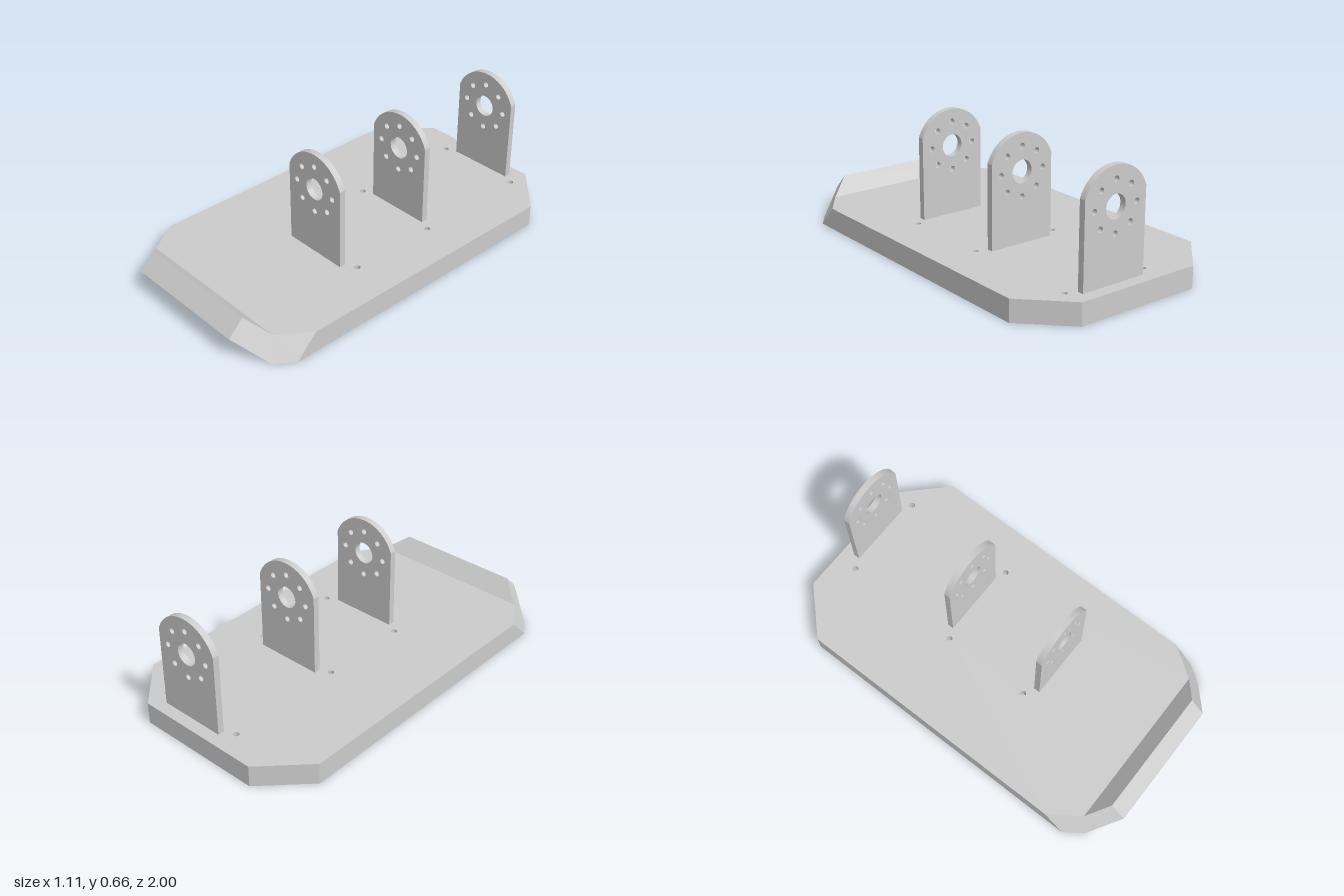
import * as THREE from 'three';

const T = 0.112; // slab thickness
const CX = 0.098; // bracket centre line
const HOLE_R = 0.015;

// Slab stations from back to front: [half width, y, z]
const bottom = [[0.335, 0, -1], [0.553, 0, -0.78], [0.553, 0, 0.793], [0.488, 0, 0.886], [0.335, T, 1]];
const top = [[0.335, T, -1], [0.553, T, -0.78], [0.553, T, 0.683], [0.444, T, 0.84], [0.335, 0.191, 0.921]];

// Bracket back-face z and the z of its pair of floor holes
const brackets = [[0.254, 0.227], [-0.303, -0.249], [-0.937, -0.881]];

function circlePath(x, y, r) {
  const p = new THREE.Path();
  p.absarc(x, y, r, 0, Math.PI * 2, true);
  return p;
}

// Slab body: bottom, sides, end caps and lip, without the flat top
function slabGeometry() {
  const pos = [];
  const corner = ([w, y, z], side) => [w * side, y, z];
  const quad = (a, b, c, d) => pos.push(...a, ...b, ...c, ...a, ...c, ...d);
  for (let i = 0; i < 4; i++) {
    const [b0, b1, t0, t1] = [bottom[i], bottom[i + 1], top[i], top[i + 1]];
    quad(corner(b0, -1), corner(b0, 1), corner(b1, 1), corner(b1, -1));
    quad(corner(b0, 1), corner(t0, 1), corner(t1, 1), corner(b1, 1));
    quad(corner(b0, -1), corner(b1, -1), corner(t1, -1), corner(t0, -1));
    if (i === 3) quad(corner(t0, -1), corner(t1, -1), corner(t1, 1), corner(t0, 1));
  }
  quad(corner(bottom[0], -1), corner(top[0], -1), corner(top[0], 1), corner(bottom[0], 1));
  quad(corner(bottom[4], -1), corner(bottom[4], 1), corner(top[4], 1), corner(top[4], -1));
  const g = new THREE.BufferGeometry();
  g.setAttribute('position', new THREE.Float32BufferAttribute(pos, 3));
  g.computeVertexNormals();
  return g;
}

// Flat deck pierced by the floor holes
function deckGeometry(holes) {
  const flat = top.slice(0, 4);
  const right = flat.map(([w, , z]) => new THREE.Vector2(w, -z));
  const left = flat.map(([w, , z]) => new THREE.Vector2(-w, -z)).reverse();
  const shape = new THREE.Shape([...right, ...left]);
  holes.forEach(([x, z]) => shape.holes.push(circlePath(x, -z, HOLE_R)));
  return new THREE.ShapeGeometry(shape, 12).rotateX(-Math.PI / 2).translate(0, T, 0);
}

// Upright plate with arched top, bore and ring of eight bolt holes
function bracketGeometry() {
  const half = 0.177, cy = 0.469, r = 0.188;
  const a = Math.acos(half / r);
  const s = new THREE.Shape();
  s.moveTo(-half, T);
  s.lineTo(half, T);
  s.absarc(0, cy, r, a, Math.PI - a, false);
  s.closePath();
  s.holes.push(circlePath(0, cy, 0.057));
  for (let i = 0; i < 8; i++) {
    const t = (i * Math.PI) / 4;
    s.holes.push(circlePath(0.123 * Math.cos(t), cy + 0.123 * Math.sin(t), HOLE_R));
  }
  return new THREE.ExtrudeGeometry(s, { depth: 0.033, bevelEnabled: false, curveSegments: 24 });
}

export function createModel() {
  const model = new THREE.Group();
  const grey = new THREE.MeshStandardMaterial({ color: 0xcccccc });
  const greyInside = new THREE.MeshStandardMaterial({ color: 0xcccccc, side: THREE.BackSide });
  const add = (name, geometry, material = grey) => {
    const mesh = new THREE.Mesh(geometry, material);
    mesh.name = name;
    model.add(mesh);
    return mesh;
  };

  const holes = brackets.flatMap(([, z]) => [[CX - 0.233, z], [CX + 0.233, z]]);
  add('baseSlab', slabGeometry());
  add('deck', deckGeometry(holes));

  // Blind floor holes: wall and floor
  const depth = 0.06;
  const wall = new THREE.CylinderGeometry(HOLE_R, HOLE_R, depth, 24, 1, true);
  const floor = new THREE.CircleGeometry(HOLE_R, 24).rotateX(-Math.PI / 2);
  for (const [x, z] of holes) {
    add('holeWall', wall, greyInside).position.set(x, T - depth / 2, z);
    add('holeFloor', floor).position.set(x, T - depth, z);
  }

  const plate = bracketGeometry();
  for (const [z] of brackets) add('bracket', plate).position.set(CX, 0, z);

  return model;
}
